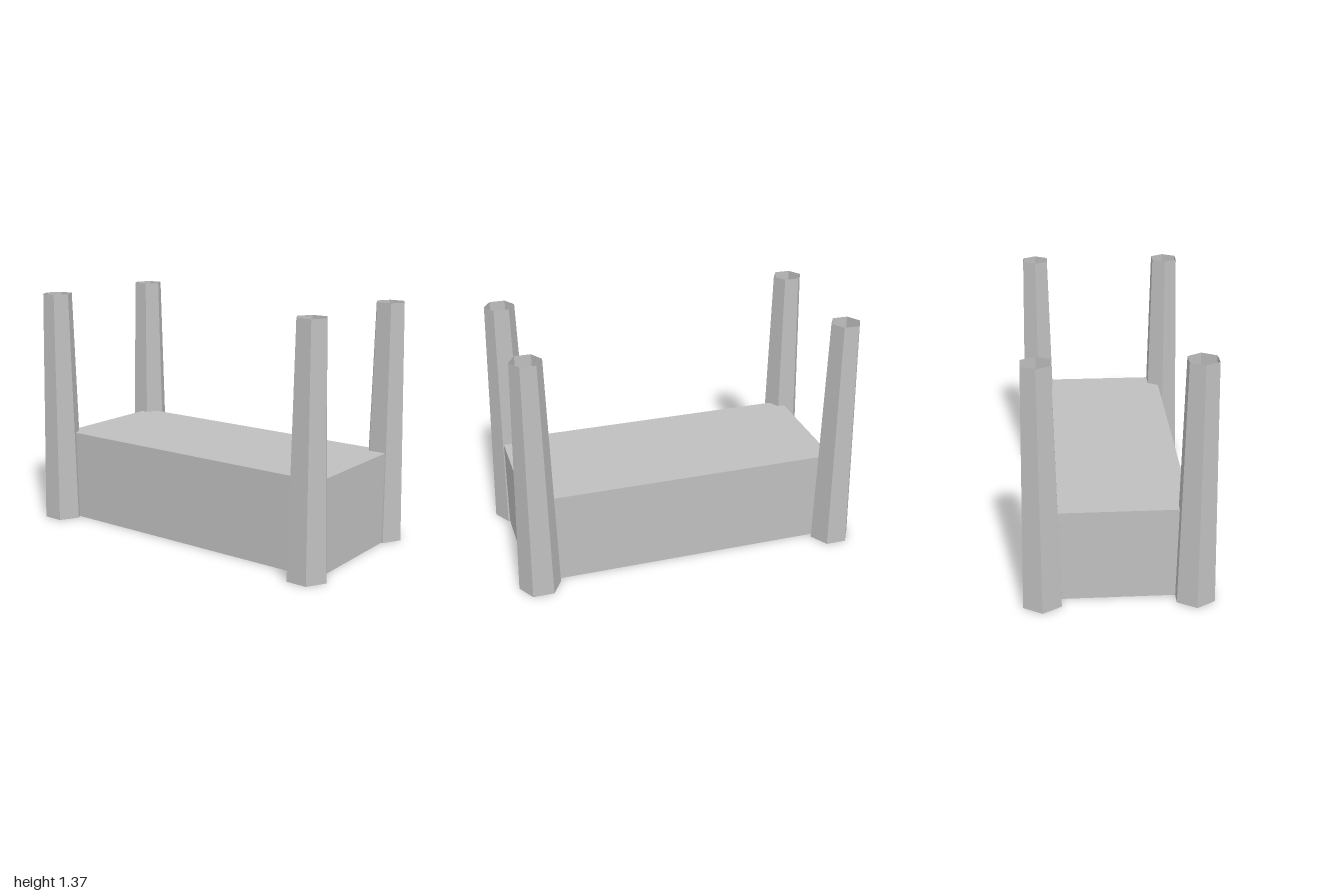
import * as THREE from 'three';
import { mergeGeometries } from 'three/addons/utils/BufferGeometryUtils.js';

const HEIGHT = 1.365;

// Split shared vertices so every facet gets its own normal
function faceted(geometry) {
  const flat = geometry.toNonIndexed();
  flat.computeVertexNormals();
  return flat;
}

// Tapered hexagonal post: open at the top, closed at the foot
function postGeometry() {
  const wall = new THREE.CylinderGeometry(0.086, 0.118, HEIGHT, 6, 1, true);
  wall.translate(0, HEIGHT / 2, 0);
  const foot = new THREE.CircleGeometry(0.118, 6, Math.PI / 2);
  foot.rotateX(Math.PI / 2);
  return faceted(mergeGeometries([wall, foot]));
}

// Box without its bottom face
function shellGeometry(w, h, d) {
  const box = new THREE.BoxGeometry(w, h, d);
  const index = Array.from(box.index.array);
  index.splice(18, 6); // faces run +x, -x, +y, -y, +z, -z
  box.setIndex(index);
  box.clearGroups();
  return faceted(box);
}

export function createModel() {
  const model = new THREE.Group();
  model.name = 'fourPostBlock';

  const grey = new THREE.MeshStandardMaterial({ color: 0xbfbfbf, side: THREE.DoubleSide });
  grey.name = 'grey';

  // Long hollow body, set slightly towards the front
  const body = new THREE.Mesh(shellGeometry(0.76, 0.525, 1.8), grey);
  body.name = 'body';
  body.position.set(0, 0.2625, 0.03);
  model.add(body);

  // Corner posts
  const post = postGeometry();
  for (const [side, sx] of [['Left', 1], ['Right', -1]]) {
    for (const [end, sz] of [['front', 1], ['back', -1]]) {
      const mesh = new THREE.Mesh(post, grey);
      mesh.name = `${end}${side}Post`;
      mesh.position.set(sx * 0.408, 0, sz * 0.882);
      model.add(mesh);
    }
  }
  return model;
}
